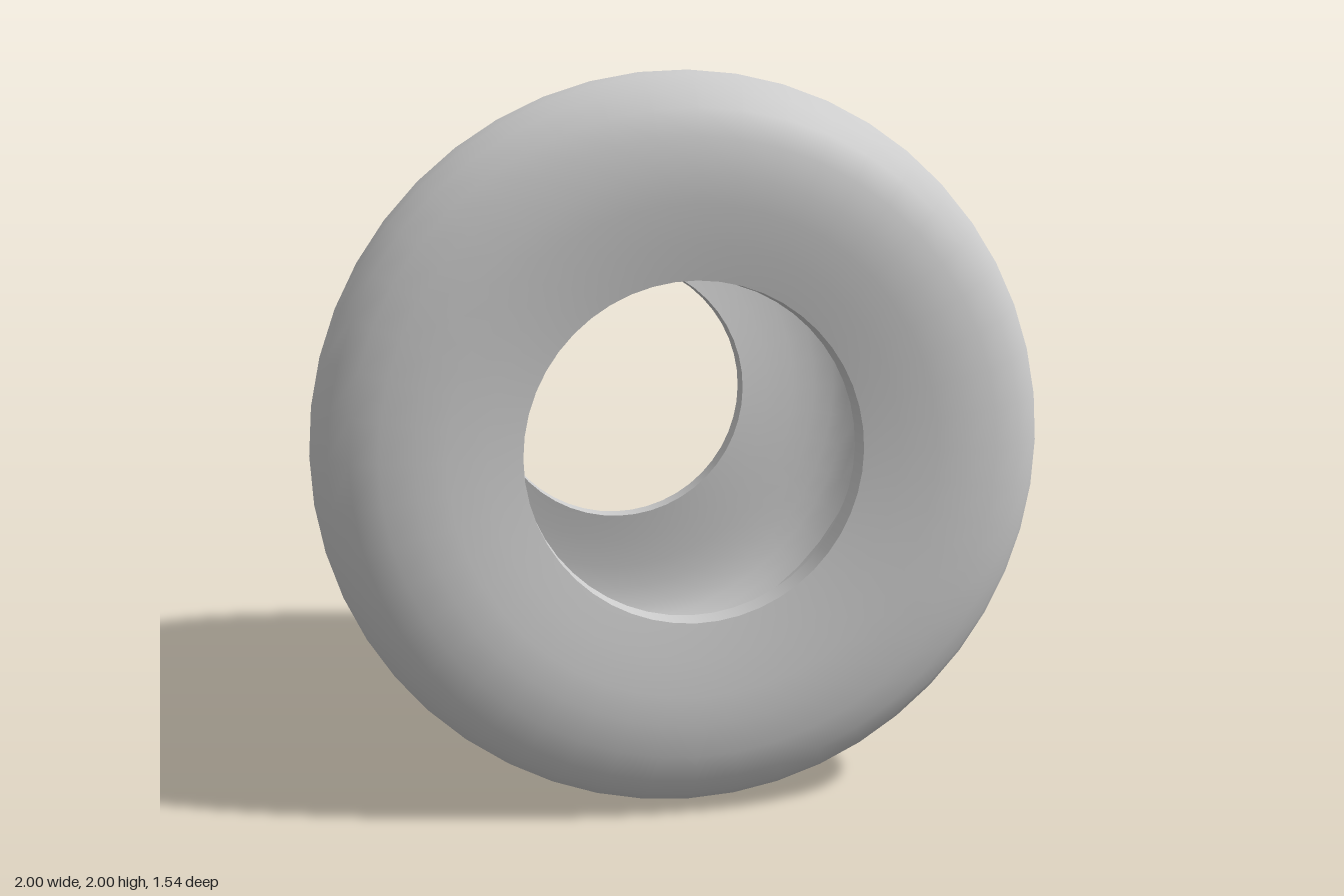
import * as THREE from 'three';

const SEGMENTS = 48;
const RADIUS = 1;      // outer wall
const HOLE = 0.455;    // open bore at both ends
const RIM_Z = 0.74;    // bore edge, slightly sunk into the dished face
const LIP_Z = 0.66;    // inner end of the bore lip
const CAVITY = 0.92;   // hollow inside
const WALL_Z = 0.58;   // where the cavity wall meets its rounded ends

export function createModel() {
  const group = new THREE.Group();
  group.name = 'hollowRoller';
  const grey = new THREE.MeshStandardMaterial({ color: 0xcccccc });
  grey.name = 'grey';

  // Turns a [radius, z] profile around the z axis; each smooth run is its own mesh
  const turn = (name, profile) => {
    const points = profile.map(([r, z]) => new THREE.Vector2(r, z));
    const geometry = new THREE.LatheGeometry(points, SEGMENTS);
    geometry.rotateX(Math.PI / 2);
    const mesh = new THREE.Mesh(geometry, grey);
    mesh.name = name;
    mesh.position.y = 1;
    group.add(mesh);
  };
  const mirror = (profile) => profile.map(([r, z]) => [r, -z]).reverse();

  // Outer skin: straight wall, rounded shoulders and slightly dished end faces
  const half = [
    [RADIUS, 0.56], [RADIUS, 0.59], [0.985, 0.64], [0.95, 0.692], [0.895, 0.735],
    [0.82, 0.759], [0.73, 0.77], [0.65, 0.767], [0.55, 0.756], [HOLE, RIM_Z],
  ];
  turn('outerSkin', [...mirror(half), ...half]);

  // Short bore lips
  const lip = [[HOLE, RIM_Z], [HOLE, LIP_Z]];
  turn('frontLip', lip);
  turn('backLip', mirror(lip));

  // Hollow inside: end faces follow the outer skin at an even thickness
  const innerFace = [
    [HOLE, LIP_Z], [0.55, 0.676], [0.65, 0.687], [0.73, 0.69],
    [0.8, 0.68], [0.85, 0.66], [0.89, 0.63], [CAVITY, WALL_Z],
  ];
  turn('frontInnerFace', innerFace);
  turn('cavityWall', [[CAVITY, WALL_Z], [CAVITY, -WALL_Z]]);
  turn('backInnerFace', mirror(innerFace));

  return group;
}
